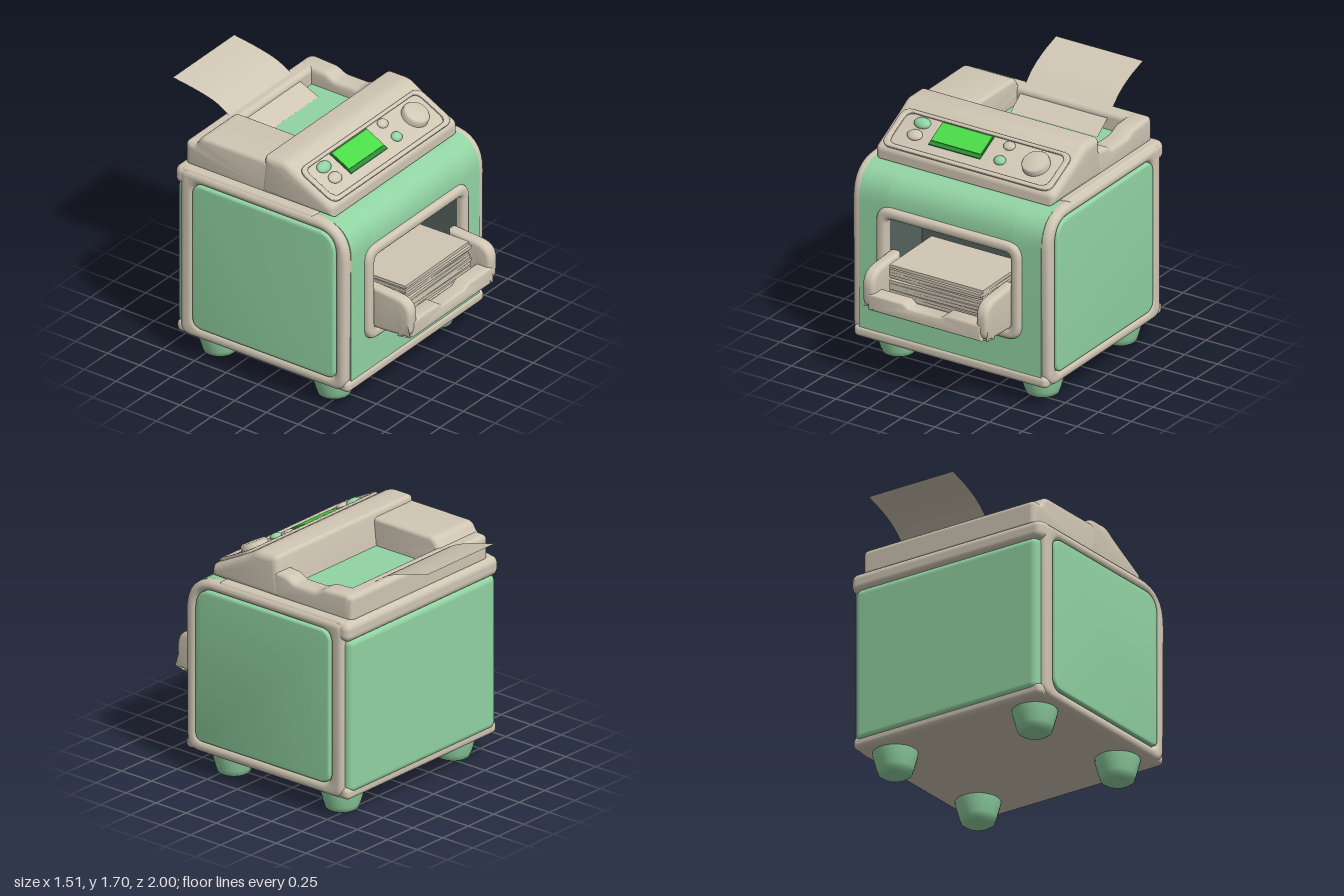
import * as THREE from 'three';
import { toCreasedNormals } from 'three/addons/utils/BufferGeometryUtils.js';
import { RoundedBoxGeometry } from 'three/addons/geometries/RoundedBoxGeometry.js';

const mat = (name, color, side = THREE.FrontSide) => {
  const m = new THREE.MeshStandardMaterial({ color, side });
  m.name = name;
  return m;
};

// Closed outline from [x, y, cornerRadius] points
function outline(points, Type = THREE.Shape) {
  const s = new Type(), n = points.length;
  points.forEach(([x, y, r = 0], i) => {
    const p = new THREE.Vector2(x, y);
    const toward = (q) => new THREE.Vector2(q[0] - x, q[1] - y).setLength(r).add(p);
    const a = r ? toward(points[(i + n - 1) % n]) : p;
    const b = r ? toward(points[(i + 1) % n]) : p;
    if (i === 0) s.moveTo(a.x, a.y); else s.lineTo(a.x, a.y);
    if (r) s.quadraticCurveTo(p.x, p.y, b.x, b.y);
  });
  s.closePath();
  return s;
}
const rect = (x0, x1, y0, y1, r) => [[x0, y0, r], [x1, y0, r], [x1, y1, r], [x0, y1, r]];

// Extrude an outline between two depths, with rounded edges kept inside the outline
function extrude(points, d0, d1, bevel = 0, hole = null) {
  const shape = outline(points);
  if (hole) shape.holes.push(outline(hole, THREE.Path));
  const geo = new THREE.ExtrudeGeometry(shape, {
    depth: d1 - d0 - 2 * bevel, curveSegments: 8, bevelEnabled: bevel > 0,
    bevelThickness: bevel, bevelSize: bevel, bevelOffset: -bevel, bevelSegments: 4,
  });
  geo.translate(0, 0, d0 + bevel);
  return toCreasedNormals(geo, 0.65);
}
// Same, for a (z, y) side profile running from x0 to x1
const extrudeX = (points, x0, x1, bevel, hole) =>
  extrude(points, -x1, -x0, bevel, hole).rotateY(-Math.PI / 2);

function roundBox(x0, x1, y0, y1, z0, z1, r) {
  const g = new RoundedBoxGeometry(x1 - x0, y1 - y0, z1 - z0, 4, r);
  return g.translate((x0 + x1) / 2, (y0 + y1) / 2, (z0 + z1) / 2);
}

export function createModel() {
  const root = new THREE.Group();
  root.name = 'desktopPrinter';
  const beige = mat('beige casing', 0xd0c6b4);
  const green = mat('mint green', 0x92d4a3);
  const glow = mat('screen green', 0x4cdc48);
  const screenDark = mat('screen edge green', 0x2c8a34);
  const dark = mat('dark interior', 0x56625f, THREE.BackSide);
  const paper = mat('paper', 0xd0c6b4, THREE.DoubleSide);
  const add = (name, geo, m, parent = root) => {
    const mesh = new THREE.Mesh(geo, m);
    mesh.name = name;
    parent.add(mesh);
    return mesh;
  };

  // Body core, notched in the middle for the output slot
  const solid = [[0.69, 0.2], [0.69, 1.37, 0.24], [-0.6, 1.37], [-0.6, 0.2]];
  const notched = [[0.69, 0.2], [0.69, 0.53], [0.3, 0.53], [0.3, 1.06], [0.69, 1.06],
    [0.69, 1.37, 0.24], [-0.6, 1.37], [-0.6, 0.2]];
  add('bodyMiddle', extrudeX(notched, -0.47, 0.47), green);
  for (const s of [-1, 1]) {
    const [a, b] = s > 0 ? [0.47, 0.69] : [-0.69, -0.47];
    add('bodyFlank', extrudeX(solid, a, b), green);
  }
  add('slotInterior', new THREE.BoxGeometry(0.93, 0.52, 0.37).translate(0, 0.795, 0.49), dark);

  // Side frames with inset green panels
  const frame = [[0.68, 0.165, 0.1], [0.69, 1.375, 0.26], [-0.62, 1.375, 0.06], [-0.62, 0.165, 0.08]];
  const panel = [[0.6, 0.245, 0.06], [0.6, 1.3, 0.14], [-0.52, 1.3, 0.08], [-0.52, 0.245, 0.08]];
  for (const s of [-1, 1]) {
    const span = (a, b) => (s > 0 ? [a, b] : [-b, -a]);
    add('sideFrame', extrudeX(frame, ...span(0.66, 0.75), 0.035, panel), beige);
    add('sidePanel', extrudeX(panel, ...span(0.66, 0.755), 0.015), green);
  }

  // Back panel, base and upper lip
  add('backPanel', roundBox(-0.715, 0.715, 0.2, 1.27, -0.67, -0.48, 0.05), green);
  add('base', roundBox(-0.735, 0.735, 0.16, 0.245, -0.66, 0.7, 0.035), beige);
  add('upperLip', roundBox(-0.745, 0.745, 1.25, 1.385, -0.67, -0.5, 0.05), beige);
  add('deck', roundBox(-0.735, 0.735, 1.33, 1.385, -0.62, 0.42, 0.025), beige);

  // Feet
  const footProfile = [[0, 0], [0.085, 0], [0.108, 0.015], [0.12, 0.05], [0.145, 0.14], [0.15, 0.2]]
    .map(([r, y]) => new THREE.Vector2(r, y));
  for (const x of [-0.545, 0.545]) for (const z of [-0.45, 0.45]) {
    add('foot', new THREE.LatheGeometry(footProfile, 24), green).position.set(x, 0, z);
  }

  // Output slot surround
  add('slotFrame', extrude(rect(-0.55, 0.545, 0.455, 1.135, 0.11), 0.64, 0.725, 0.03,
    rect(-0.47, 0.47, 0.53, 1.06, 0.04)), beige);

  // Output tray: floor, arms and notched front lip
  const tray = new THREE.Group();
  tray.name = 'outputTray';
  root.add(tray);
  add('trayFloor', roundBox(-0.45, 0.45, 0.53, 0.585, 0.4, 0.96, 0.02), beige, tray);
  const arm = [[0.66, 0.53], [0.86, 0.535, 0.1], [0.985, 0.555, 0.05], [1, 0.81, 0.13], [0.66, 0.83]];
  add('trayArm', extrudeX(arm, 0.385, 0.475, 0.03), beige, tray);
  add('trayArm', extrudeX(arm, -0.475, -0.385, 0.03), beige, tray);
  add('trayLip', extrude([[-0.43, 0.54], [0.43, 0.54], [0.43, 0.66], [0.16, 0.66], [0.12, 0.63],
    [-0.12, 0.63], [-0.16, 0.66], [-0.43, 0.66]], 0.88, 0.995, 0.02), beige, tray);

  // Stack of printed sheets with slight disorder
  let seed = 7;
  const rnd = () => ((seed = (seed * 16807) % 2147483647) / 2147483647) - 0.5;
  for (let i = 0; i < 10; i++) {
    const sheet = add('stackSheet', new THREE.BoxGeometry(0.7, 0.021, 0.5), paper, tray);
    sheet.position.set(rnd() * 0.02, 0.597 + i * 0.0245, 0.61 + rnd() * 0.03);
    sheet.rotation.set(rnd() * 0.015, rnd() * 0.04, rnd() * 0.02);
  }

  // Top unit: hood, raised block, low rim, back wall and green feed floor
  add('hood', extrudeX([[0.53, 1.37], [0.53, 1.45, 0.03], [0.24, 1.6, 0.05], [0.16, 1.65, 0.04],
    [-0.01, 1.65, 0.03], [-0.04, 1.37]], -0.68, 0.68, 0.045), beige);
  add('raisedBlock', extrudeX([[0.05, 1.37], [0.05, 1.61], [-0.51, 1.61, 0.04], [-0.55, 1.54, 0.02],
    [-0.62, 1.53, 0.03], [-0.62, 1.37]], -0.675, -0.28, 0.03), beige);
  add('sideRim', extrudeX([[0.05, 1.37], [0.05, 1.55], [-0.1, 1.54, 0.02], [-0.16, 1.505, 0.02],
    [-0.34, 1.505, 0.02], [-0.41, 1.54, 0.02], [-0.62, 1.55, 0.04], [-0.61, 1.37]],
    0.53, 0.675, 0.03), beige);
  add('backWall', roundBox(-0.67, 0.67, 1.36, 1.545, -0.635, -0.515, 0.035), beige);
  add('feedFloor', new THREE.BoxGeometry(0.86, 0.03, 0.56).translate(0.125, 1.41, -0.26), green);

  // Blank sheet curling out of the feed
  const curl = new THREE.CatmullRomCurve3([[-0.24, 1.43, -0.38], [-0.258, 1.53, -0.56],
    [-0.27, 1.61, -0.68], [-0.285, 1.66, -0.82], [-0.3, 1.7, -1]].map((p) => new THREE.Vector3(...p)));
  const sheetGeo = new THREE.PlaneGeometry(1, 1, 1, 16);
  const sp = sheetGeo.attributes.position;
  for (let i = 0; i < sp.count; i++) {
    const c = curl.getPoint(THREE.MathUtils.clamp(sp.getY(i) + 0.5, 0, 1));
    sp.setXYZ(i, c.x + (sp.getX(i) + 0.5) * 0.66, c.y, c.z);
  }
  sheetGeo.computeVertexNormals();
  add('feedSheet', sheetGeo, paper);

  // Control panel on the sloped hood face; local y points out of the slope
  const controls = new THREE.Group();
  controls.name = 'controlPanel';
  controls.position.set(0, 1.533, 0.37);
  controls.rotation.x = 0.477;
  root.add(controls);
  add('panelRim', extrude(rect(-0.64, 0.64, -0.165, 0.155, 0.07), -0.01, 0.016, 0.008,
    rect(-0.6, 0.6, -0.135, 0.13, 0.06)).rotateX(-Math.PI / 2), beige, controls);
  add('screenEdge', new THREE.BoxGeometry(0.39, 0.008, 0.19).translate(-0.14, 0.004, -0.03), screenDark, controls);
  add('screen', new THREE.BoxGeometry(0.375, 0.009, 0.15).translate(-0.14, 0.009, -0.04), glow, controls);
  const button = (name, x, z, rx, rz, h, m) => {
    const b = add(name, new THREE.SphereGeometry(1, 20, 12), m, controls);
    b.position.set(x, 0.005, z);
    b.scale.set(rx, h, rz);
  };
  button('greenButton', -0.46, -0.075, 0.06, 0.042, 0.03, green);
  button('beigeButton', -0.46, 0.025, 0.055, 0.042, 0.022, beige);
  button('beigeButton', 0.19, -0.09, 0.042, 0.035, 0.022, beige);
  button('greenButton', 0.19, 0.035, 0.042, 0.036, 0.025, green);
  const knobProfile = [[0.094, -0.01], [0.092, 0.03], [0.08, 0.045], [0, 0.05]]
    .map(([r, y]) => new THREE.Vector2(r, y));
  add('knob', new THREE.LatheGeometry(knobProfile, 28), beige, controls).position.set(0.44, 0, -0.01);

  return root;
}
